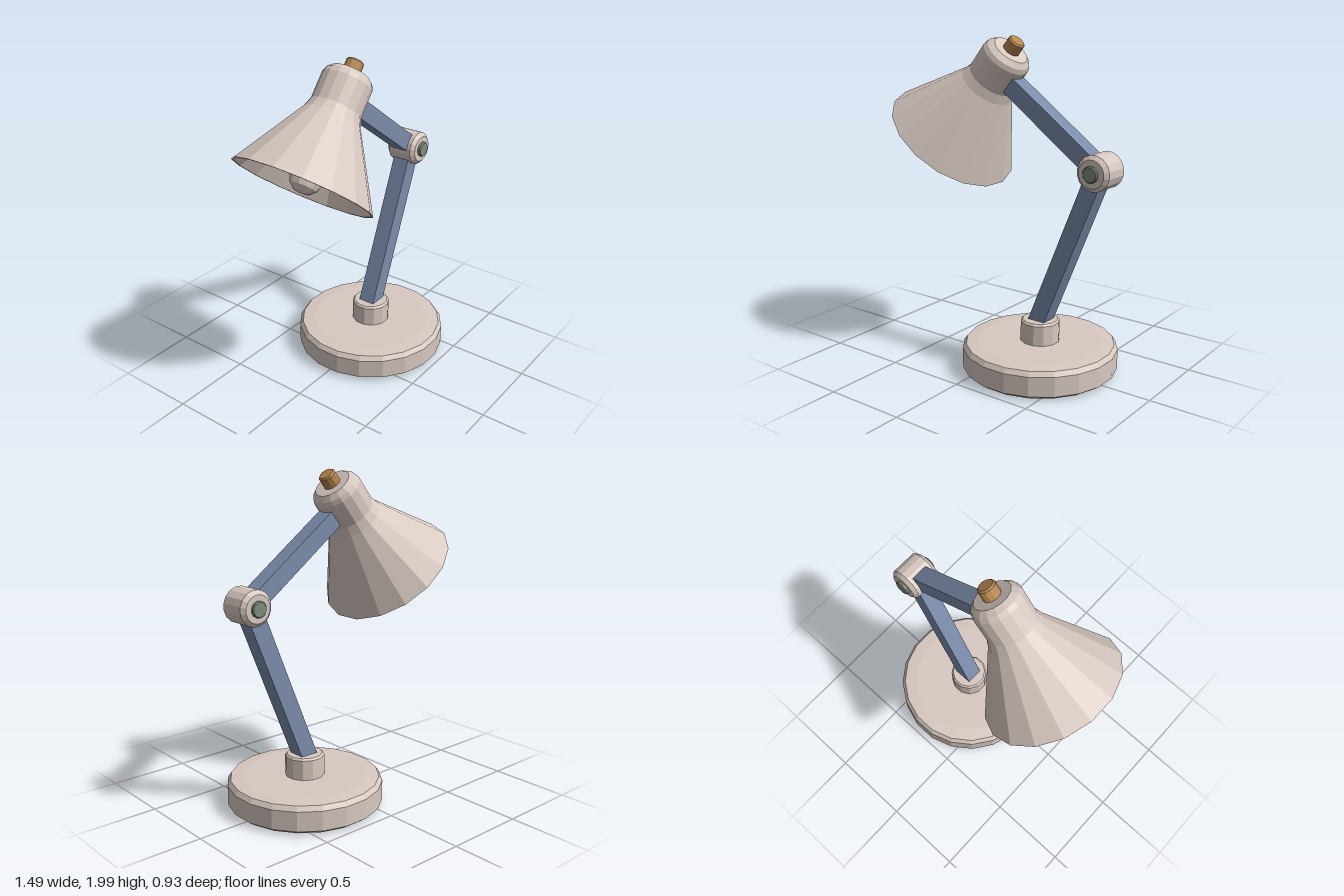
import * as THREE from 'three';

const mat = (name, color) => {
  const m = new THREE.MeshStandardMaterial({ color });
  m.name = name;
  return m;
};

// Bake faceted normals
function faceted(geometry) {
  const g = geometry.index ? geometry.toNonIndexed() : geometry;
  g.computeVertexNormals();
  return g;
}

function part(name, geometry, material) {
  const mesh = new THREE.Mesh(faceted(geometry), material);
  mesh.name = name;
  return mesh;
}

// Faceted turned part: profile of [radius to flat, height], flats facing the axes
function turned(name, profile, sides, material) {
  const k = 1 / Math.cos(Math.PI / sides);
  const pts = profile.map(([r, y]) => new THREE.Vector2(r * k, y));
  return part(name, new THREE.LatheGeometry(pts, sides, Math.PI / sides), material);
}

// Square bar between two points in the x-y plane
function bar(name, [x1, y1], [x2, y2], width, material) {
  const dx = x2 - x1, dy = y2 - y1;
  const mesh = part(name, new THREE.BoxGeometry(width, Math.hypot(dx, dy), width), material);
  mesh.position.set((x1 + x2) / 2, (y1 + y2) / 2, 0);
  mesh.rotation.z = Math.atan2(-dx, dy);
  return mesh;
}

export function createModel() {
  const enamel = mat('warm grey enamel', 0xd8c9c1);
  const blue = mat('blue steel', 0x7b8cab);
  const copper = mat('copper', 0xb8864f);
  const green = mat('grey green pin', 0x7d8c7d);

  const lamp = new THREE.Group();
  lamp.name = 'deskLamp';
  const footX = 0.245, elbow = [0.64, 1.27];

  // Weighted base and post
  const base = turned('base', [
    [0, 0], [0.43, 0], [0.465, 0.025], [0.465, 0.145], [0.445, 0.173], [0.37, 0.18], [0, 0.18],
  ], 20, enamel);
  const post = turned('post', [
    [0, 0.17], [0.115, 0.17], [0.115, 0.303], [0.104, 0.315], [0, 0.315],
  ], 12, enamel);
  base.position.x = post.position.x = footX;
  lamp.add(base, post);

  // Arms
  lamp.add(bar('lowerArm', [0.224, 0.25], elbow, 0.107, blue));
  lamp.add(bar('upperArm', elbow, [-0.01, 1.745], 0.107, blue));

  // Elbow joint with a pin through it
  const joint = new THREE.Group();
  joint.name = 'elbowJoint';
  joint.position.set(elbow[0], elbow[1], 0);
  joint.rotation.x = Math.PI / 2;
  joint.add(
    turned('elbowBarrel', [
      [0, -0.1], [0.08, -0.1], [0.103, -0.078], [0.103, 0.078], [0.08, 0.1], [0, 0.1],
    ], 16, enamel),
    turned('elbowPin', [
      [0, -0.118], [0.041, -0.118], [0.046, -0.112], [0.046, 0.112], [0.041, 0.118], [0, 0.118],
    ], 12, green),
  );
  lamp.add(joint);

  // Tilted head: origin at the centre of the shade opening, axis along y
  const head = new THREE.Group();
  head.name = 'head';
  head.position.set(-0.423, 1.36, 0);
  head.rotation.z = -0.684;
  head.add(
    // Hollow shade with its neck and chamfered cap
    turned('shade', [
      [0, 0.48], [0.13, 0.48], [0.152, 0.43], [0.402, 0], [0.414, 0],
      [0.168, 0.43], [0.148, 0.485], [0.148, 0.65], [0.138, 0.678], [0.108, 0.705], [0, 0.705],
    ], 16, enamel),
    turned('switchKnob', [
      [0, 0.69], [0.051, 0.69], [0.051, 0.768], [0.042, 0.778], [0, 0.778],
    ], 12, copper),
    // Bulb tapering into its socket
    turned('bulb', [
      [0, -0.03], [0.045, -0.022], [0.08, 0.01], [0.1, 0.07], [0.085, 0.13],
      [0.05, 0.2], [0.045, 0.48],
    ], 12, enamel),
  );
  lamp.add(head);

  return lamp;
}
